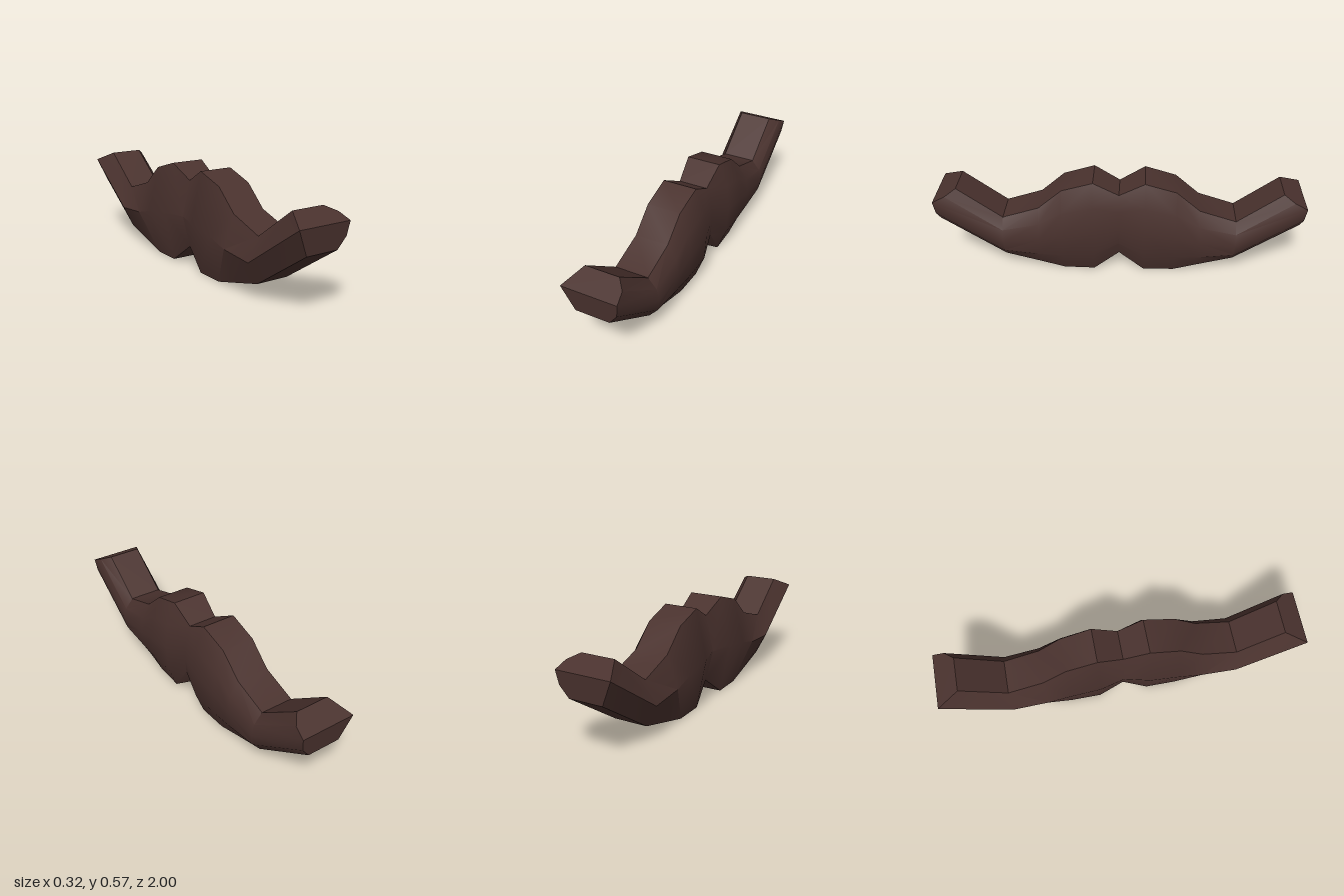
import * as THREE from 'three';
import { toCreasedNormals } from 'three/addons/utils/BufferGeometryUtils.js';

// Stations from the centre notch to the tip.
// zs: z of [bottom, side, top]; ys: y of [bottom, side, top]
// left / right: side reach in x; flat: x range of the flat top and bottom strips
const STATIONS = [
  { zs: [0, 0, 0], ys: [0.11, 0.29, 0.49], left: -0.125, right: 0.12, flat: [-0.08, 0.085] },
  { zs: [0.14, 0.14, 0.14], ys: [0, 0.29, 0.567], left: -0.16, right: 0.157, flat: [-0.1, 0.092] },
  { zs: [0.31, 0.31, 0.31], ys: [0, 0.26, 0.515], left: -0.16, right: 0.15, flat: [-0.1, 0.088] },
  { zs: [0.44, 0.44, 0.44], ys: [0.035, 0.225, 0.40], left: -0.16, right: 0.145, flat: [-0.1, 0.086] },
  { zs: [0.64, 0.64, 0.64], ys: [0.09, 0.21, 0.335], left: -0.16, right: 0.145, flat: [-0.1, 0.086] },
  { zs: [0.985, 1.0, 0.88], ys: [0.325, 0.46, 0.515], left: -0.16, right: 0.145, flat: [-0.1, 0.086] },
];

// Eight-cornered cross-section; the right side is slightly rounder than the left
function ring(s, sign) {
  const [zb, zm, zt] = s.zs, [yb, ym, yt] = s.ys, [fl, fr] = s.flat;
  const mix = THREE.MathUtils.lerp;
  const rx = mix(fr, s.right, 0.8);
  return [
    [fl, yb, zb], [s.left, ym, zm], [fl, yt, zt], [fr, yt, zt],
    [rx, mix(ym, yt, 0.55), mix(zm, zt, 0.55)],
    [s.right, ym, zm],
    [rx, mix(ym, yb, 0.55), mix(zm, zb, 0.55)],
    [fr, yb, zb],
  ].map(([x, y, z]) => [x, y, z * sign]);
}

function moustacheGeometry() {
  // Mirror the stations about the centre to get one continuous loft
  const rings = [
    ...STATIONS.slice(1).reverse().map((s) => ring(s, -1)),
    ...STATIONS.map((s) => ring(s, 1)),
  ];
  const n = 8, index = [], last = (rings.length - 1) * n;
  for (let i = 0; i < rings.length - 1; i++) {
    for (let j = 0; j < n; j++) {
      const k = (j + 1) % n;
      const a = i * n + j, b = i * n + k, c = b + n, d = a + n;
      // Mirror the diagonals too
      if (i < STATIONS.length - 1) index.push(a, d, b, d, c, b);
      else index.push(a, d, c, a, c, b);
    }
  }
  // Tip faces, fanned from the left side corner
  for (let j = 2; j < n; j++) {
    const k = (j + 1) % n;
    index.push(1, j, k, last + 1, last + k, last + j);
  }
  const geo = new THREE.BufferGeometry();
  geo.setAttribute('position', new THREE.Float32BufferAttribute(rings.flat(2), 3));
  geo.setIndex(index);
  return toCreasedNormals(geo, 0.6);
}

export function createModel() {
  const group = new THREE.Group();
  group.name = 'moustacheModel';
  const hair = new THREE.MeshStandardMaterial({ color: 0x4a322e });
  const moustache = new THREE.Mesh(moustacheGeometry(), hair);
  moustache.name = 'moustache';
  group.add(moustache);
  return group;
}
